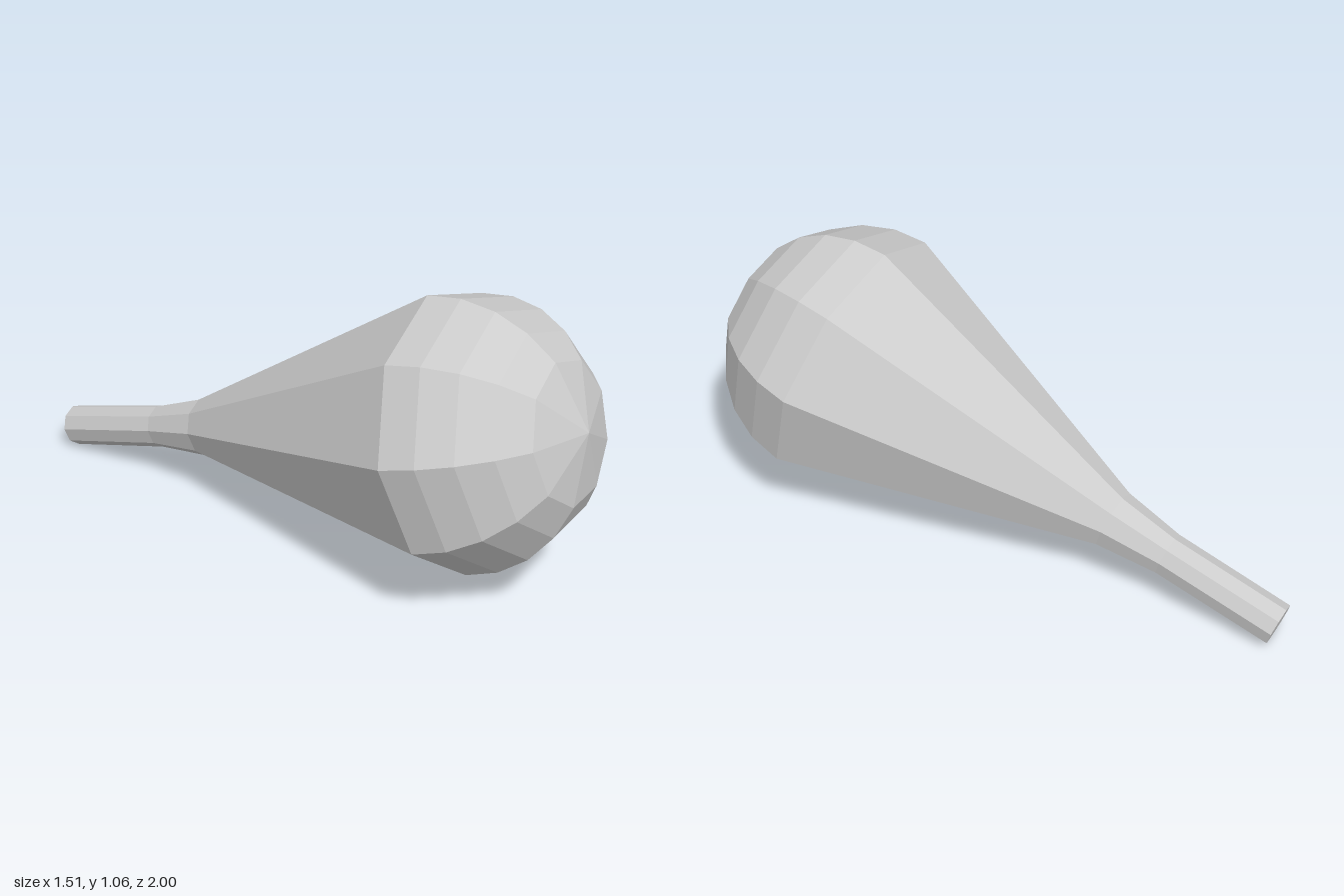
import * as THREE from 'three';

const SIDES = 9;

// Nine-sided solid of revolution along y from [radius, height] pairs
function turned(profile, material, name) {
  const points = profile.map(([r, h]) => new THREE.Vector2(r, h));
  const mesh = new THREE.Mesh(new THREE.LatheGeometry(points, SIDES), material);
  mesh.name = name;
  return mesh;
}

export function createModel() {
  const material = new THREE.MeshStandardMaterial({ color: 0xcccccc, flatShading: true });
  const club = new THREE.Group();
  club.name = 'club';

  // Slim grip with a closed end, flaring a little at the neck
  const neck = [0.111, 0.685];
  club.add(turned([[0, 0], [0.079, 0], [0.081, 0.455], neck], material, 'handle'));

  // Long cone swelling to the head
  const radius = 0.492, centre = 1.827;
  club.add(turned([neck, [radius, centre]], material, 'taper'));

  // Faceted hemisphere with a wide fan at the tip
  const dome = [0, 15, 30, 45, 60, 90].map((deg) => {
    const a = THREE.MathUtils.degToRad(deg);
    return [deg === 90 ? 0 : radius * Math.cos(a), centre + radius * Math.sin(a)];
  });
  club.add(turned(dome, material, 'head'));

  // Lay the club down: axis towards front left, one corner of each ring upwards
  const axis = new THREE.Vector3(0.528, 0.27, 0.805).normalize();
  const up = new THREE.Vector3(0, 1, 0).addScaledVector(axis, -axis.y).normalize();
  up.applyAxisAngle(axis, 0.042);
  const side = new THREE.Vector3().crossVectors(axis, up);
  club.quaternion.setFromRotationMatrix(new THREE.Matrix4().makeBasis(side, axis, up));
  club.position.set(-0.685, 0.077, -0.96);

  const model = new THREE.Group();
  model.name = 'model';
  model.add(club);
  return model;
}
